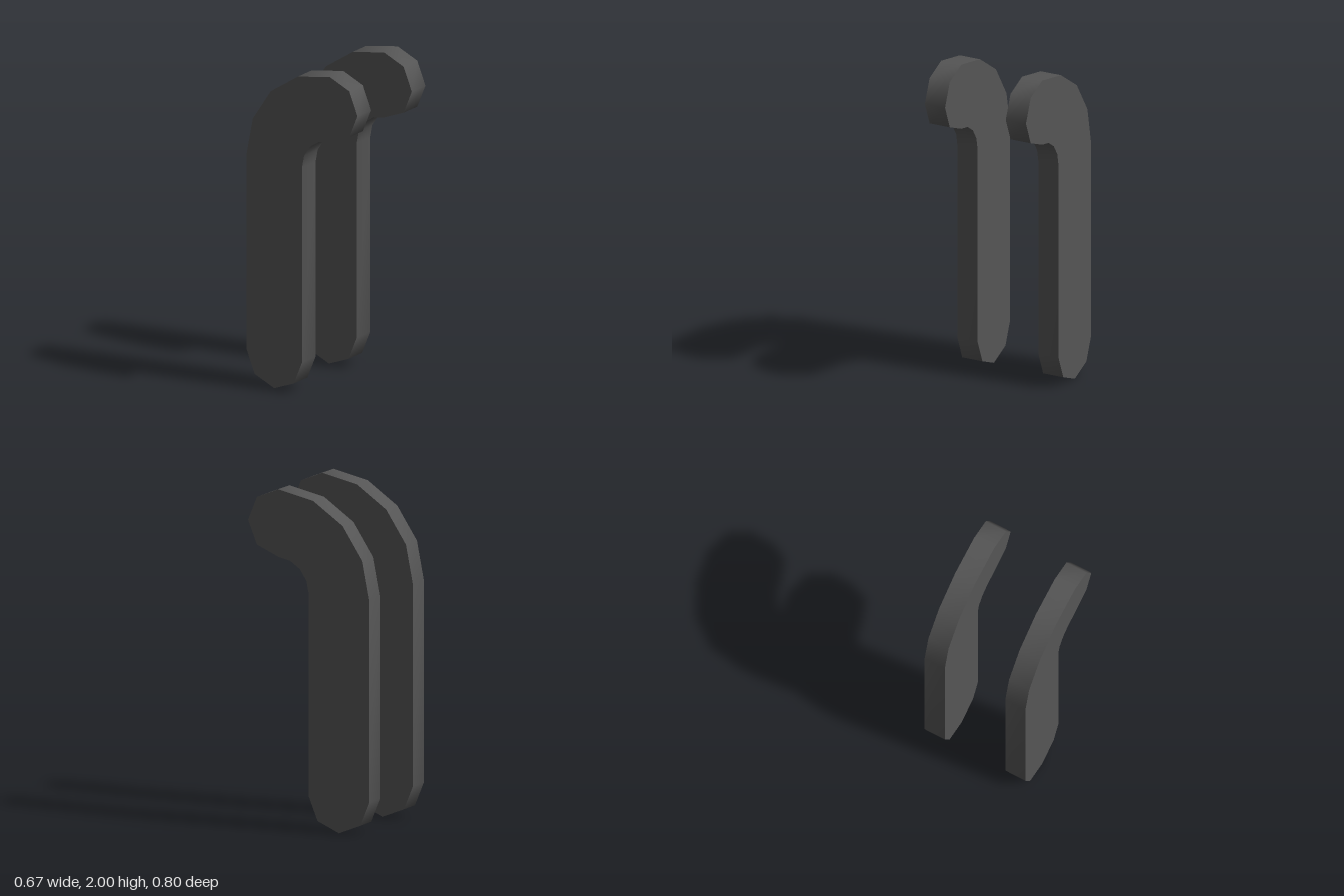
import * as THREE from 'three';
import { toCreasedNormals } from 'three/addons/utils/BufferGeometryUtils.js';

const THICKNESS = 0.133;
const INNER_X = 0.2;

// Side outline of a hooked bar: rounded foot, straight shank, bent rounded tip
function hookOutline() {
  const shape = new THREE.Shape();
  shape.absarc(-0.2, 0.2, 0.2, Math.PI, 2 * Math.PI, false);       // foot
  shape.absarc(0.2, 1.4, 0.2, Math.PI, Math.PI / 2, true);         // inner bend
  shape.absarc(0.2, 1.8, 0.2, -Math.PI / 2, Math.PI / 2, false);   // tip
  shape.absarc(0.2, 1.4, 0.6, Math.PI / 2, Math.PI, false);        // outer bend
  shape.closePath();
  return shape;
}

export function createModel() {
  const group = new THREE.Group();
  group.name = 'hookPair';

  const darkGrey = new THREE.MeshStandardMaterial({ color: 0x555555 });
  darkGrey.name = 'darkGrey';

  // Four facets per arc; the rim is smooth and the flat sides stay sharp
  const extruded = new THREE.ExtrudeGeometry(hookOutline(), {
    depth: THICKNESS, bevelEnabled: false, curveSegments: 2,
  });
  extruded.translate(0, 0, -THICKNESS / 2);
  extruded.rotateY(-Math.PI / 2); // outline x becomes z
  const geometry = toCreasedNormals(extruded, 1.0);

  for (const [name, side] of [['leftHook', 1], ['rightHook', -1]]) {
    const hook = new THREE.Mesh(geometry, darkGrey);
    hook.name = name;
    hook.position.x = side * (INNER_X + THICKNESS / 2);
    group.add(hook);
  }
  return group;
}
